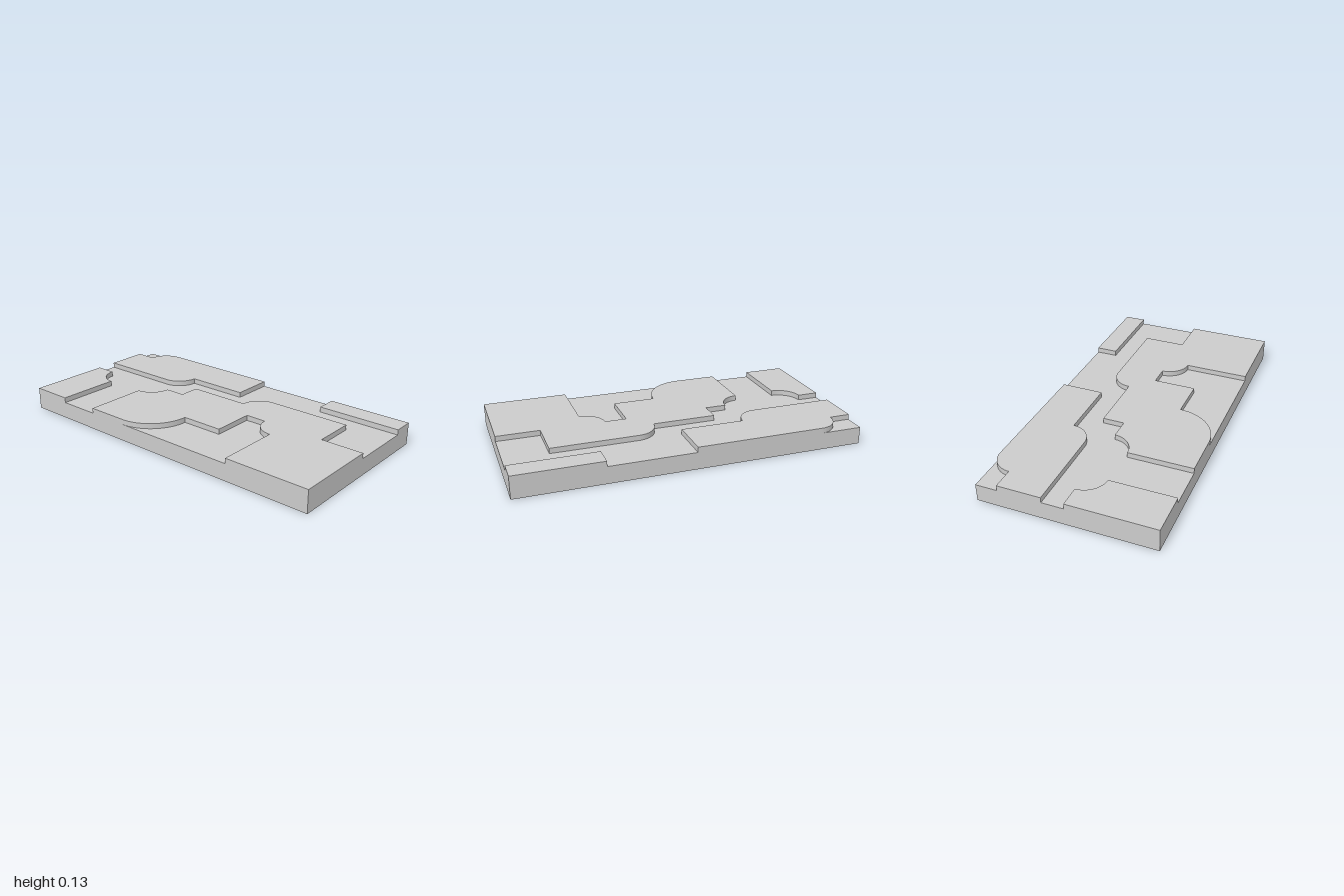
import * as THREE from 'three';
import { toCreasedNormals } from 'three/addons/utils/BufferGeometryUtils.js';

const BASE = 0.1, TOP = 0.131;

// Outline in plan (x, z): [x, z] is a corner,
// [cx, cz, radius, from, to] is an arc with angles in quarter turns.
function outline(steps) {
  const shape = new THREE.Shape();
  steps.forEach((s, i) => {
    if (i === 0) shape.moveTo(s[0], s[1]);
    else if (s.length === 2) shape.lineTo(s[0], s[1]);
    else {
      const [cx, cz, r, from, to] = s;
      shape.absarc(cx, cz, r, from * Math.PI / 2, to * Math.PI / 2, to < from);
    }
  });
  return shape;
}

export function createModel() {
  const group = new THREE.Group();
  const material = new THREE.MeshStandardMaterial({ color: 0xcccccc });

  const add = (name, geometry) => {
    const mesh = new THREE.Mesh(geometry, material);
    mesh.name = name;
    group.add(mesh);
  };

  // Base slab, whose top is the floor of the channels
  add('baseSlab', new THREE.BoxGeometry(2, BASE, 1).translate(0, BASE / 2, 0));

  // Raised plates separated by the channels
  const plates = {
    frontCornerPlate: [
      [-1, 0], [-0.875, 0], [-0.75, 0, 0.125, 2, 1], [-0.75, 0.5], [-1, 0.5],
    ],
    centrePlate: [
      [-0.5, 0.5], [-0.5, 0.125], [-0.5, 0, 0.125, 1, 0],
      [-0.25, 0], [-0.25, -0.125], [0.125, -0.125], [0.25, -0.125, 0.125, 2, 3],
      [0.75, -0.25], [0.75, 0], [1, 0], [1, 0.5], [0.5, 0.5],
      [0.5, 0.125], [0.5, 0, 0.125, 1, 2],
      [0.25, 0], [0.25, 0.25], [0, 0.25], [-0.25, 0.25, 0.25, 0, 1],
    ],
    backPlate: [
      [-1, -0.125], [-0.5, -0.125], [-0.5, -0.25, 0.125, 1, 0],
      [0, -0.25], [0, -0.5], [-0.75, -0.5], [-0.75, -0.375, 0.125, 3, 2], [-1, -0.375],
    ],
    backCornerPlate: [[0.5, -0.5], [1, -0.5], [1, -0.375], [0.5, -0.375]],
  };

  for (const [name, steps] of Object.entries(plates)) {
    const geometry = new THREE.ExtrudeGeometry(outline(steps), {
      depth: TOP - BASE, bevelEnabled: false, curveSegments: 16,
    });
    geometry.rotateX(Math.PI / 2).translate(0, TOP, 0);
    add(name, toCreasedNormals(geometry, 0.5));
  }

  return group;
}
